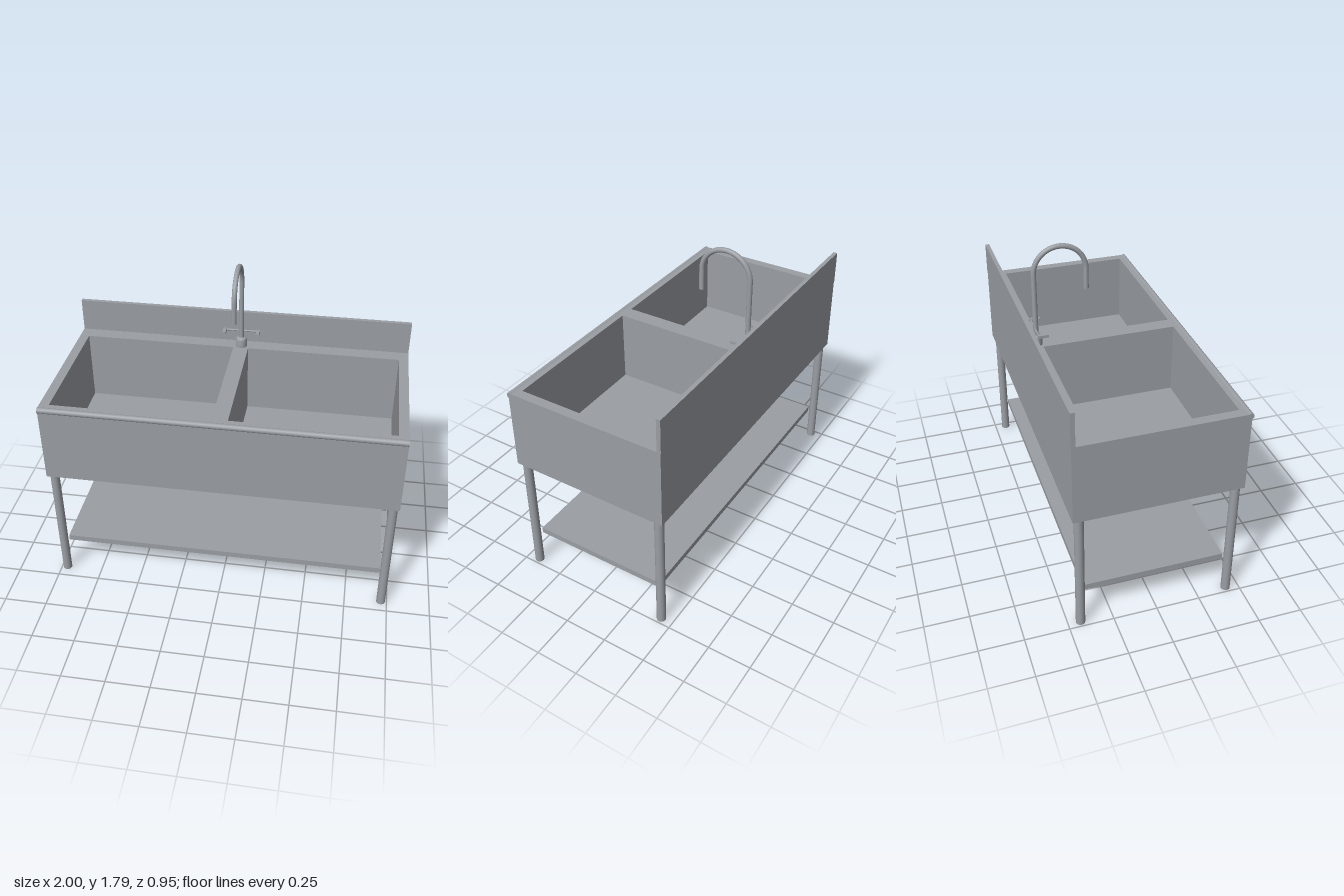
import * as THREE from 'three';

export function createModel() {
  const model = new THREE.Group();
  model.name = 'doubleSink';
  const steel = new THREE.MeshStandardMaterial({ color: 0x9a9ea3 });
  steel.name = 'steel grey';

  const add = (name, geometry, x = 0, y = 0, z = 0, parent = model) => {
    const mesh = new THREE.Mesh(geometry, steel);
    mesh.name = name;
    mesh.position.set(x, y, z);
    parent.add(mesh);
    return mesh;
  };
  // Box given by its limits on each axis
  const box = (name, x0, x1, y0, y1, z0, z1, parent) =>
    add(name, new THREE.BoxGeometry(x1 - x0, y1 - y0, z1 - z0),
      (x0 + x1) / 2, (y0 + y1) / 2, (z0 + z1) / 2, parent);
  const rectangle = (path, x0, x1, z0, z1) => {
    path.moveTo(x0, -z1);
    path.lineTo(x1, -z1);
    path.lineTo(x1, -z0);
    path.lineTo(x0, -z0);
    path.closePath();
    return path;
  };

  // Sink body with two open basins
  const bottom = 0.74, top = 1.205, floorTop = 0.785;
  const outline = rectangle(new THREE.Shape(), -1, 1, -0.47, 0.463);
  const basins = [[-0.945, -0.045], [0.045, 0.945]];
  for (const [x0, x1] of basins) {
    outline.holes.push(rectangle(new THREE.Path(), x0, x1, -0.36, 0.415));
    box('basinFloor', x0, x1, bottom, floorTop, -0.36, 0.415);
  }
  const walls = new THREE.ExtrudeGeometry(outline, { depth: top - bottom, bevelEnabled: false });
  walls.rotateX(-Math.PI / 2);
  add('sinkBody', walls, 0, bottom, 0);

  // Rolled front edge and backsplash
  const roll = new THREE.CylinderGeometry(0.017, 0.017, 2, 24);
  roll.rotateZ(Math.PI / 2);
  add('rolledFrontEdge', roll, 0, 1.192, 0.457);
  box('backsplash', -1, 1, top, 1.4, -0.472, -0.448);

  // Legs and lower shelf
  for (const x of [-0.965, 0.965]) {
    for (const z of [-0.43, 0.425]) {
      add('leg', new THREE.CylinderGeometry(0.026, 0.026, bottom, 20), x, bottom / 2, z);
    }
  }
  box('shelf', -0.94, 0.94, 0.205, 0.24, -0.405, 0.4);

  // Tap base with a rounded shoulder
  const tap = new THREE.Group();
  tap.name = 'tap';
  tap.position.set(0, top, -0.39);
  model.add(tap);
  const profile = [[0.034, 0], [0.034, 0.045], [0.028, 0.056], [0.014, 0.06]];
  add('tapBase', new THREE.LatheGeometry(profile.map(([r, y]) => new THREE.Vector2(r, y)), 28),
    0, 0, 0, tap);

  // Gooseneck spout: riser, half circle and drop
  const reach = 0.147, rise = 0.425, drop = 0.305, radius = 0.0145;
  const spout = new THREE.Group();
  spout.name = 'spout';
  tap.add(spout);
  add('riser', new THREE.CylinderGeometry(radius, radius, rise - 0.05, 16), 0, (rise + 0.05) / 2, 0, spout);
  const bend = new THREE.TorusGeometry(reach, radius, 16, 40, Math.PI);
  bend.rotateY(Math.PI / 2);
  add('bend', bend, 0, rise, reach, spout);
  add('nozzle', new THREE.CylinderGeometry(radius, radius, rise - drop, 16),
    0, (rise + drop) / 2, reach * 2, spout);

  // Crossbar with a forward lever at each end
  const bar = new THREE.CylinderGeometry(0.006, 0.006, 0.2, 12);
  bar.rotateZ(Math.PI / 2);
  add('handleBar', bar, 0, 0.1, -0.005, tap);
  for (const side of [-1, 1]) {
    const x = side * 0.1;
    box('lever', x - 0.011, x + 0.011, 0.092, 0.108, -0.012, 0.048, tap);
  }
  return model;
}
